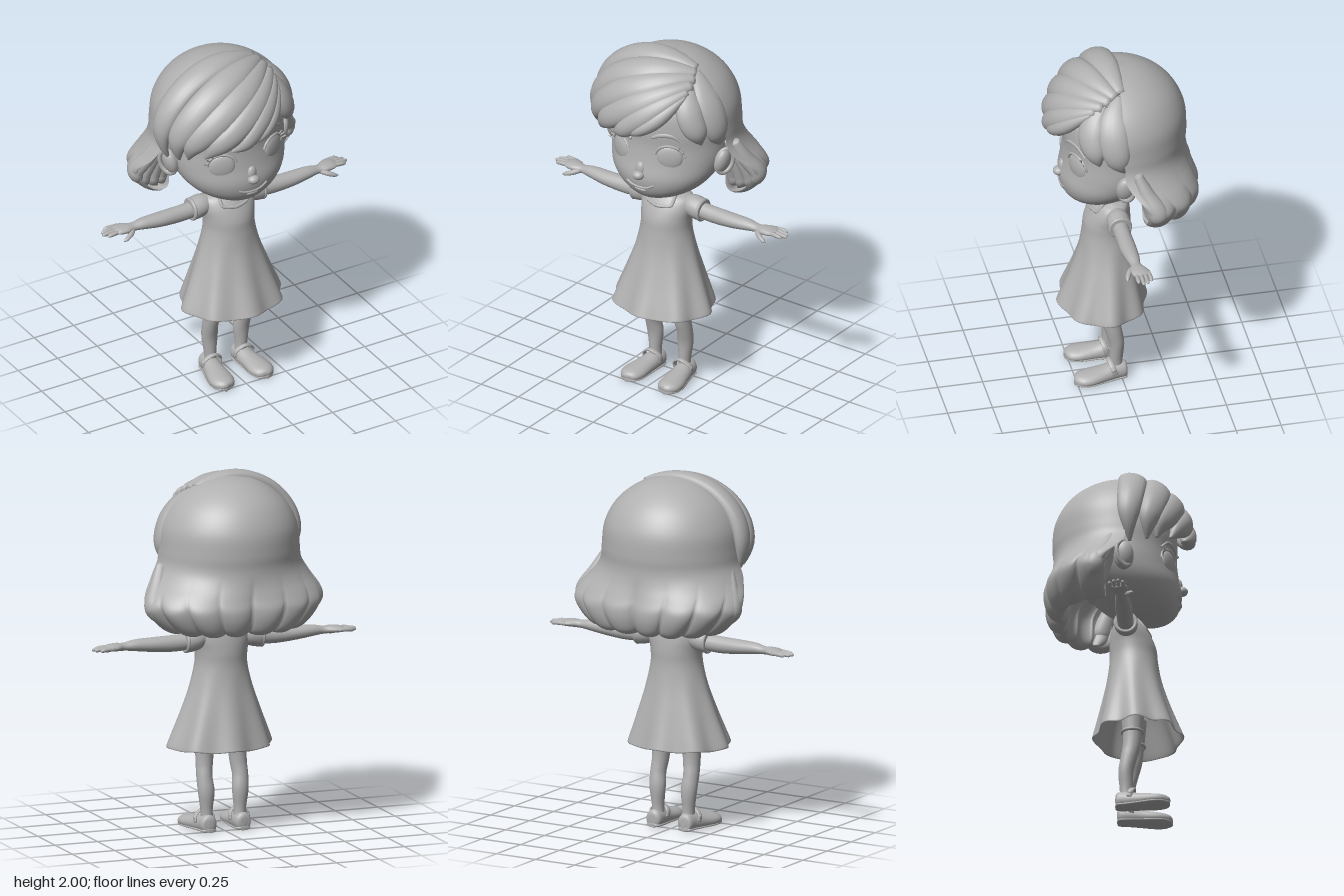
import * as THREE from 'three';

const V = (x, y, z) => new THREE.Vector3(x, y, z);
const clay = new THREE.MeshStandardMaterial({ color: 0xb0b0b0, side: THREE.DoubleSide });
clay.name = 'clay grey';

function add(parent, name, geometry, pos = [0, 0, 0], scale = [1, 1, 1], rot = [0, 0, 0]) {
  const m = new THREE.Mesh(geometry, clay);
  m.name = name;
  m.position.set(...pos); m.scale.set(...scale); m.rotation.set(...rot);
  parent.add(m);
}

// Smooth interpolation through rows of numbers, t in 0..1
function spline(rows, t) {
  const n = rows.length - 1, f = Math.min(Math.max(t, 0), 1) * n;
  const i = Math.min(Math.floor(f), n - 1), u = f - i;
  const r = k => rows[Math.min(Math.max(k, 0), n)];
  return rows[0].map((_, c) => {
    const a = r(i - 1)[c], b = r(i)[c], d = r(i + 1)[c], e = r(i + 2)[c];
    return b + 0.5 * u * (d - a + u * (2 * a - 5 * b + 4 * d - e + u * (3 * (b - d) + e - a)));
  });
}

// Skin over a list of rings
function loft(rings, closed = true, caps = true) {
  const n = rings[0].length, pos = [], idx = [];
  rings.forEach(r => r.forEach(p => pos.push(p.x, p.y, p.z)));
  for (let i = 0; i < rings.length - 1; i++) for (let j = 0; j < (closed ? n : n - 1); j++) {
    const k = (j + 1) % n, a = i * n + j, b = i * n + k;
    idx.push(a, b, b + n, a, b + n, a + n);
  }
  if (caps) [0, rings.length - 1].forEach(i => {
    const c = rings[i].reduce((s, p) => s.add(p), V(0, 0, 0)).divideScalar(n), ci = pos.length / 3;
    pos.push(c.x, c.y, c.z);
    for (let j = 0; j < n; j++) {
      const a = i * n + j, b = i * n + (j + 1) % n;
      idx.push(...(i ? [ci, a, b] : [ci, b, a]));
    }
  });
  const g = new THREE.BufferGeometry();
  g.setAttribute('position', new THREE.Float32BufferAttribute(pos, 3));
  g.setIndex(idx);
  g.computeVertexNormals();
  return g;
}

// Elliptical sweep through rows [x, y, z, halfWidth, halfThickness]
function sweep(rows, up, steps = 24, sides = 14, place = p => p) {
  const at = t => { const s = spline(rows, t); return place(V(s[0], s[1], s[2])); };
  const rings = [];
  for (let i = 0; i <= steps; i++) {
    const t = i / steps, p = at(t), s = spline(rows, t);
    const T = at(Math.min(t + 0.01, 1)).sub(at(Math.max(t - 0.01, 0))).normalize();
    const U = up(p).clone();
    U.addScaledVector(T, -U.dot(T)).normalize();
    const S = T.clone().cross(U), ring = [];
    for (let j = 0; j < sides; j++) {
      const a = j / sides * Math.PI * 2;
      ring.push(p.clone().addScaledVector(U, Math.cos(a) * Math.max(s[4], 0.001)).addScaledVector(S, Math.sin(a) * Math.max(s[3], 0.001)));
    }
    rings.push(ring);
  }
  return loft(rings);
}

// Upright loft through rows [y, halfWidth, zFront, zBack]
function stack(rows, steps, sides, shape = () => [1, 0], caps = true) {
  const rings = [];
  for (let i = 0; i <= steps; i++) {
    const [y, w, f, b] = spline(rows, i / steps), ring = [];
    for (let j = 0; j < sides; j++) {
      const a = j / sides * Math.PI * 2, [k, dy] = shape(a, y);
      ring.push(V(Math.cos(a) * w * k, y + dy, (f + b) / 2 - Math.sin(a) * (f - b) / 2 * k));
    }
    rings.push(ring);
  }
  return loft(rings, true, caps);
}

const ball = new THREE.SphereGeometry(1, 28, 20);
const tube = (pts, r, closed = false, tension = 0.5) => new THREE.TubeGeometry(
  new THREE.CatmullRomCurve3(pts.map(p => V(...p)), closed, 'catmullrom', tension), 48, r, 8, closed);
const upY = () => V(0, 1, 0), upZ = () => V(0, 0, 1);

const headRows = [[1.165, .03, .2, .1], [1.18, .1, .25, .03], [1.21, .175, .288, -.02], [1.26, .25, .315, -.1],
  [1.33, .305, .325, -.18], [1.42, .335, .308, -.25], [1.52, .34, .297, -.28], [1.62, .34, .3, -.3],
  [1.74, .3, .28, -.26], [1.85, .18, .19, -.15]];

// Height of the face surface at a point
function faceZ(x, y) {
  let t = 0;
  while (t < 1 && spline(headRows, t)[0] < y) t += 0.004;
  const [, w, f, b] = spline(headRows, t);
  return (f + b) / 2 + (f - b) / 2 * Math.sqrt(Math.max(0, 1 - (x / w) ** 2));
}
const onFace = (pts, lift) => pts.map(([x, y]) => [x, y, faceZ(x, y) + lift]);

function buildHead(root) {
  const head = new THREE.Group(); head.name = 'head'; root.add(head);
  add(head, 'face', stack(headRows, 44, 48));
  add(head, 'neck', sweep([[0, 1.08, .035, .08, .06], [0, 1.15, .04, .06, .055], [0, 1.26, .045, .058, .056]], upZ));
  add(head, 'nose', ball, [0, 1.345, .326], [.034, .026, .032]);
  add(head, 'noseBridge', ball, [0, 1.375, .305], [.03, .045, .024]);
  add(head, 'mouth', tube(onFace([[-.085, 1.285], [-.05, 1.272], [0, 1.268], [.05, 1.275], [.092, 1.298]], 0), .007));
  add(head, 'lowerLip', ball, [.002, 1.252, faceZ(0, 1.252) - .006], [.04, .012, .012]);
  for (const s of [-1, 1]) {
    const x = s * .16, y = 1.455 + s * .014, r = .073;
    add(head, 'eye', ball, [x, y, faceZ(x, y) - .012], [r, r, .022], [0, s * .42, 0]);
    const arc = [];
    for (let i = 0; i <= 8; i++) {
      const a = .05 + i / 8 * 2.8;
      arc.push([x + s * Math.cos(a) * r * 1.03, y + Math.sin(a) * r * 1.03]);
    }
    add(head, 'upperLid', tube(onFace(arc, .003), .008));
    for (const a of [.3, .6, .9]) {
      const c = s * Math.cos(a), d = Math.sin(a), px = x + c * r, py = y + d * r, z = faceZ(px, py);
      add(head, 'eyelash', tube([[px, py, z + .006], [px + c * .02, py + d * .015, z + .01], [px + c * .03, py + d * .03, z + .012]], .004));
    }
    const by = 1.57 + s * .025;
    add(head, 'eyebrow', sweep(onFace([[s * .07, by - .01], [s * .12, by + .012], [s * .18, by + .01], [s * .23, by - .03]], .004)
      .map((p, i) => [...p, [.008, .012, .011, .002][i], .007]), upZ));
    add(head, 'ear', ball, [s * .348, 1.412, .026], [.04, .08, .055], [0, 0, -s * .25]);
    add(head, 'earRim', new THREE.TorusGeometry(.05, .012, 10, 28), [s * .365, 1.416, .028], [.95, 1.4, 1], [0, s * .9, -s * .22]);
  }
}

function buildHair(root) {
  const hair = new THREE.Group(); hair.name = 'hair'; root.add(hair);
  // Back bob with scalloped, flipped-out ends: rows [y, side radius, back radius]
  const rows = [[1.5, .3, .28], [1.35, .31, .29], [1.2, .31, .3], [1.165, .345, .335], [1.185, .41, .38], [1.245, .475, .408],
    [1.31, .515, .414], [1.37, .503, .398], [1.44, .45, .382], [1.52, .405, .375], [1.6, .394, .38], [1.72, .378, .37],
    [1.83, .32, .316], [1.91, .23, .23], [1.96, .125, .125], [1.98, .001, .001]];
  const rings = [];
  for (let i = 0; i <= 75; i++) {
    const [y, rx, rz] = spline(rows, i / 75), ring = [];
    const w = THREE.MathUtils.smoothstep(1.5 - y, 0, .2), lap = .1 * (1 - w);
    for (let j = 0; j <= 128; j++) {
      const u = j / 128 * Math.PI, a = u + (j / 64 - 1) * lap;
      const s = Math.abs(Math.sin(u * 8)) ** .6, k = 1 + .05 * w * (s - .8);
      ring.push(V(-.016 * (1 - w) + Math.cos(a) * rx * k, y - .02 * w * (s - .5),
        -Math.sin(a) * rz * k - .075 * w * Math.abs(Math.cos(a))));
    }
    rings.push(ring);
  }
  add(hair, 'backBob', loft(rings, false, false));

  // Front locks lie on an ellipsoid around the skull
  const C = V(-.03, 1.62, 0), R = V(.4, .35, .36);
  const onSkull = k => p => C.clone().add(p.clone().sub(C).divide(R).normalize().multiply(R).multiplyScalar(k));
  const outward = p => p.clone().sub(C).divide(R).divide(R).normalize();
  add(hair, 'crown', new THREE.SphereGeometry(1, 40, 20, 0, Math.PI, 0, 1.25), C.toArray(), [.39, .345, .35]);
  const locks = [
    [.99, .078, [.17, 1.92, .02], [-.05, 2, .06], [-.3, 1.85, .07], [-.43, 1.65, .06], [-.38, 1.48, .06]],
    [1, .078, [.18, 1.9, .05], [-.03, 1.93, .17], [-.27, 1.8, .2], [-.4, 1.63, .18], [-.36, 1.5, .15]],
    [1, .075, [.19, 1.88, .08], [0, 1.87, .25], [-.2, 1.75, .28], [-.34, 1.62, .25], [-.33, 1.52, .2]],
    [1.01, .07, [.2, 1.86, .12], [.03, 1.8, .3], [-.13, 1.7, .36], [-.23, 1.62, .33], [-.28, 1.54, .28]],
    [1.01, .06, [.2, 1.84, .16], [.1, 1.77, .3], [.0, 1.69, .36], [-.08, 1.62, .36], [-.15, 1.58, .35]],
    [1, .042, [.2, 1.82, .18], [.15, 1.75, .29], [.09, 1.69, .33], [.02, 1.64, .35], [-.05, 1.6, .36]],
    [.96, .075, [.19, 1.86, .12], [.24, 1.8, .19], [.29, 1.72, .22], [.32, 1.63, .2], [.34, 1.55, .18]],
    [.95, .085, [.18, 1.91, .03], [.27, 1.82, .08], [.34, 1.72, .09], [.37, 1.6, .07], [.37, 1.5, .03]],
  ];
  for (const [k, w, ...pts] of locks)
    add(hair, 'frontLock', sweep(pts.map((p, i) => [...p, w * [.4, .92, 1, .8, .1][i], [.025, .038, .045, .042, .01][i]]),
      outward, 36, 16, onSkull(k)));
  // Locks fanning out behind the ears to close the front of the bob
  const fan = [[.475, 1.3, -.13, .448, 1.235], [.43, 1.27, -.13, .4, 1.205], [.375, 1.25, -.13, .335, 1.185], [.32, 1.24, -.14, .27, 1.175]];
  for (const s of [-1, 1]) fan.forEach(([x, y, z, tx, ty], i) => {
    const rx = .385 - i * .02;
    add(hair, 'sideLock', sweep([[s * rx, 1.52, -.03, .03, .025], [s * (rx + x) / 2, 1.41, -.075, .042, .045],
      [s * x, y + .03, z + .01, .042, .055], [s * x, y - .02, z, .036, .05], [s * tx, ty - .015, z - .02, .006, .015]], upZ));
  });
}

function buildDress(root) {
  const dress = new THREE.Group(); dress.name = 'dress'; root.add(dress);
  // Inner lining, hem, then skirt and bodice with folds fading upward
  const rows = [[.8, .15, .19, -.06], [.65, .22, .25, -.105], [.485, .28, .311, -.14], [.468, .292, .326, -.153], [.5, .284, .315, -.147],
    [.65, .23, .26, -.115], [.8, .178, .215, -.085], [.92, .148, .195, -.07], [1, .147, .186, -.07], [1.07, .158, .158, -.065],
    [1.12, .145, .125, -.055], [1.145, .085, .095, -.035]];
  add(dress, 'skirtAndBodice', stack(rows, 66, 108, (a, y) => {
    const f = THREE.MathUtils.clamp((.9 - y) / .43, 0, 1);
    return [1 + .05 * f * Math.cos(a * 8), .005 * f * Math.cos(a * 8)];
  }, false));
  add(dress, 'yoke', ball, [0, 1.12, .035], [.13, .035, .07]);
  add(dress, 'neckline', tube([[-.08, 1.145, .085], [-.078, 1.09, .13], [0, 1.08, .152], [.078, 1.09, .13], [.08, 1.145, .085],
    [.07, 1.15, .0], [0, 1.14, -.035], [-.07, 1.15, .0]], .01, true, .25));
}

// Arm, leg and shoe of the +x side
function buildLimbs() {
  const side = new THREE.Group();
  add(side, 'sleeve', sweep([[.1, 1.09, .03, .045, .04], [.15, 1.08, .03, .062, .06], [.2, 1.07, .03, .064, .064], [.228, 1.067, .03, .06, .06]], upY, 16, 20));
  add(side, 'sleeveCuff', new THREE.TorusGeometry(.056, .01, 10, 28), [.22, 1.068, .03], [1, 1, 1], [0, Math.PI / 2, 0]);
  add(side, 'arm', sweep([[.18, 1.067, .03, .045, .045], [.3, 1.062, .03, .045, .046], [.42, 1.065, .03, .046, .04], [.52, 1.07, .027, .038, .032],
    [.585, 1.068, .025, .029, .022], [.63, 1.07, .022, .045, .022], [.67, 1.07, .012, .05, .019], [.7, 1.068, .008, .038, .012]], upY, 36, 18));
  [[-.03, .745], [-.006, .768], [.018, .775], [.042, .755]].forEach(([z, x]) =>
    add(side, 'finger', sweep([[.66, 1.07, z * .9, .011, .011], [.71, 1.07, z, .012, .012], [x - .012, 1.066, z, .01, .01], [x, 1.064, z, .002, .002]], upY, 12, 10)));
  add(side, 'thumb', sweep([[.595, 1.062, .04, .016, .014], [.625, 1.052, .07, .015, .014], [.66, 1.04, .085, .012, .011], [.68, 1.035, .088, .002, .002]], upY, 12, 10));

  add(side, 'leg', sweep([[.095, .05, .025, .034, .036], [.098, .12, .027, .034, .036], [.1, .22, .025, .046, .042], [.105, .3, .04, .044, .045],
    [.1, .37, .055, .047, .049], [.095, .46, .06, .054, .054], [.085, .62, .06, .075, .07]], upZ, 36, 20));
  add(side, 'shortsCuff', new THREE.TorusGeometry(.055, .009, 10, 28), [.095, .462, .06], [1, 1, 1], [Math.PI / 2, 0, 0]);

  // Shoe with a flat underside
  const shoe = [[.1, .045, -.033, .01, .02], [.1, .045, -.022, .042, .05], [.102, .044, .03, .05, .054], [.112, .036, .1, .058, .046],
    [.122, .03, .18, .069, .04], [.127, .027, .23, .061, .035], [.13, .024, .258, .036, .025], [.13, .022, .268, .005, .008]];
  const body = sweep(shoe, upY, 36, 24), p = body.attributes.position;
  for (let i = 0; i < p.count; i++) p.setY(i, Math.max(p.getY(i), 0));
  body.computeVertexNormals();
  add(side, 'shoe', body);
  add(side, 'sole', sweep(shoe.map(([x, , z, w]) => [x, .012, z, w, .012]), upY, 36, 16));
  add(side, 'shoeStrap', sweep([[.048, .05, .045, .016, .007], [.052, .09, .055, .016, .007], [.1, .118, .066, .016, .008],
    [.15, .09, .055, .016, .007], [.156, .05, .045, .016, .007]], q => V(q.x - .1, q.y - .05, 0), 24, 10));
  add(side, 'shoeButton', ball, [.157, .075, .052], [.008, .014, .014]);
  return side;
}

export function createModel() {
  const root = new THREE.Group(); root.name = 'girl';
  buildHead(root);
  buildHair(root);
  buildDress(root);
  for (const s of [1, -1]) {
    const limbs = buildLimbs();
    limbs.name = s > 0 ? 'leftLimbs' : 'rightLimbs';
    limbs.scale.x = s;
    root.add(limbs);
  }
  return root;
}
